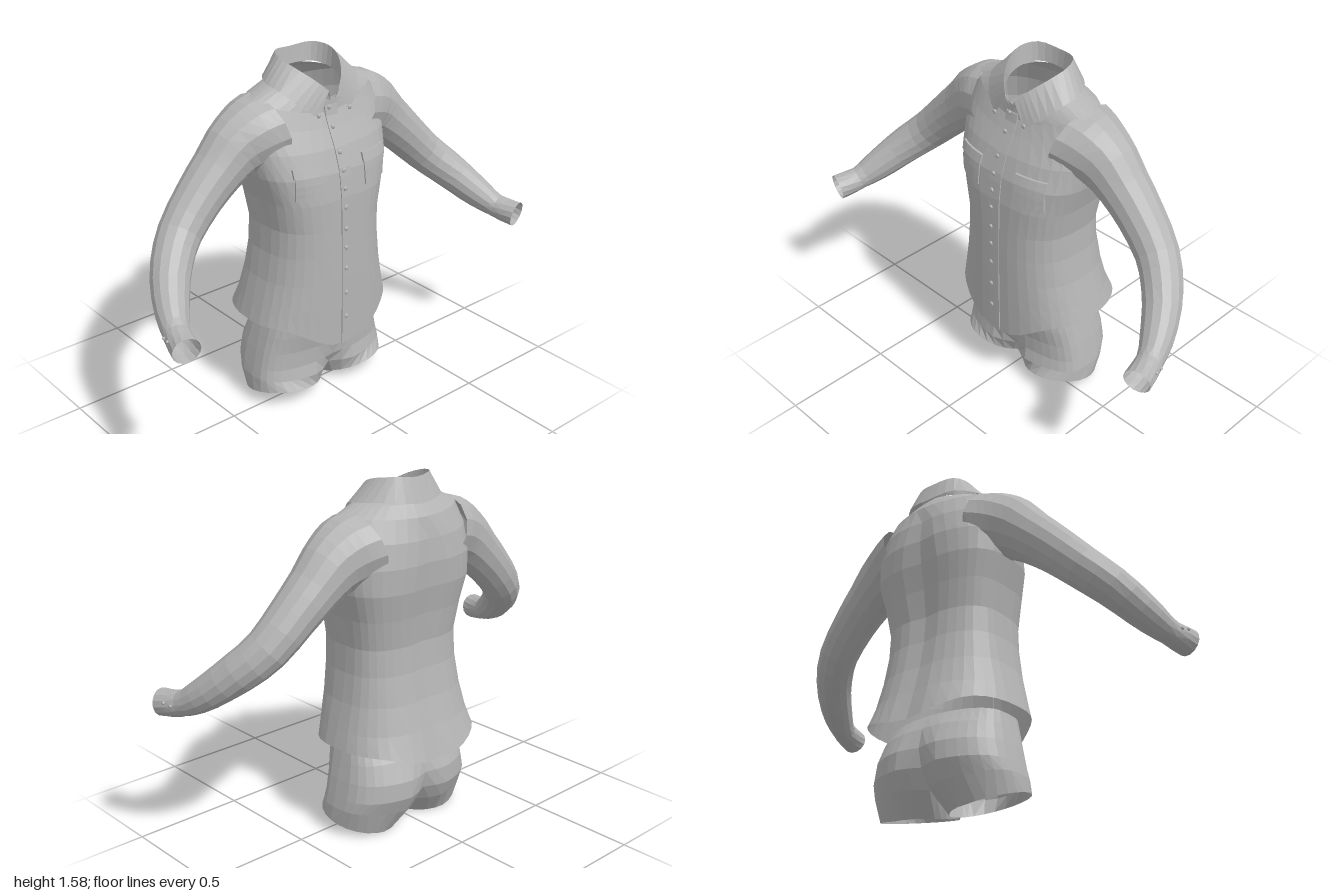
import * as THREE from 'three';

const cloth = new THREE.MeshStandardMaterial({ color: 0xb4b4b4, flatShading: true, side: THREE.DoubleSide });
cloth.name = 'grey cloth';
const V = (x, y, z) => new THREE.Vector3(x, y, z);
const lerp = THREE.MathUtils.lerp;
const spow = (v, p) => Math.sign(v) * Math.abs(v) ** p;

function add(group, name, geometry) {
  const mesh = new THREE.Mesh(geometry, cloth);
  mesh.name = name;
  group.add(mesh);
  return mesh;
}

// Skin between rows of points of equal length
function skin(rows, closed = false) {
  const n = rows[0].length, idx = [];
  for (let i = 0; i < rows.length - 1; i++) {
    for (let j = 0; j < (closed ? n : n - 1); j++) {
      const k = (j + 1) % n, a = i * n + j, b = i * n + k;
      idx.push(a, b, a + n, b, b + n, a + n);
    }
  }
  const g = new THREE.BufferGeometry().setFromPoints(rows.flat());
  g.setIndex(idx);
  const flat = g.toNonIndexed();
  flat.computeVertexNormals();
  return flat;
}

// Shirt body rings: y at front, side, back; half width; front z; back z; squareness
const ZC = -0.06;
const BODY = [
  [0.29, 0.42, 0.36, 0.355, 0.2, -0.37, 2.5],
  [0.5, 0.5, 0.5, 0.335, 0.2, -0.325, 2.5],
  [0.62, 0.62, 0.62, 0.305, 0.199, -0.29, 2.6],
  [0.75, 0.75, 0.75, 0.285, 0.197, -0.264, 2.7],
  [0.87, 0.87, 0.87, 0.28, 0.194, -0.254, 2.8],
  [1.0, 1.0, 1.0, 0.3, 0.19, -0.269, 3],
  [1.12, 1.12, 1.12, 0.335, 0.175, -0.292, 2.9],
  [1.22, 1.23, 1.23, 0.352, 0.142, -0.3, 2.5],
  [1.3, 1.34, 1.33, 0.35, 0.103, -0.29, 2.1],
  [1.36, 1.435, 1.42, 0.315, 0.078, -0.258, 1.9],
  [1.39, 1.478, 1.47, 0.21, 0.077, -0.22, 2],
  [1.42, 1.49, 1.5, 0.13, 0.077, -0.19, 2],
];

function bodyRing([yF, yS, yB, hw, zF, zB, n], i) {
  const row = [];
  for (let j = 0; j < 36; j++) {
    const t = (j / 36) * Math.PI * 2, c = Math.cos(t);
    const x = hw * spow(Math.sin(t), 2 / n);
    let z = ZC + (c > 0 ? zF - ZC : ZC - zB) * spow(c, 2 / n);
    if (c < 0 && i < 9) z += 0.016 * Math.exp(-((x / 0.06) ** 2));
    row.push(V(x, lerp(yS, c > 0 ? yF : yB, Math.abs(c) ** (i ? 2 : 6)), z));
  }
  return row;
}

// Depth of the shirt front at a given x and y
function frontZ(x, y) {
  let i = 0;
  while (i < BODY.length - 2 && BODY[i + 1][0] < y) i++;
  const a = BODY[i], b = BODY[i + 1];
  const f = THREE.MathUtils.clamp((y - a[0]) / (b[0] - a[0]), 0, 1);
  const [hw, zF, n] = [3, 4, 6].map((k) => lerp(a[k], b[k], f));
  return ZC + (zF - ZC) * Math.max(0, 1 - Math.abs(x / hw) ** n) ** (1 / n);
}

// Thin panel that follows the shirt front
function frontPanel(x, y, w, h, depth, ny) {
  const g = new THREE.BoxGeometry(w, h, depth, 4, ny, 1);
  g.translate(x, y, 0);
  const p = g.attributes.position;
  for (let i = 0; i < p.count; i++) p.setZ(i, p.getZ(i) + frontZ(p.getX(i), p.getY(i)));
  g.computeVertexNormals();
  return g;
}

// Sleeve path: centre x, y, z, then radius across and along the depth
const SLEEVE = [
  [0.23, 1.3, -0.085, 0.155, 0.185], [0.3, 1.28, -0.085, 0.158, 0.16], [0.38, 1.242, -0.088, 0.142, 0.128],
  [0.46, 1.178, -0.088, 0.118, 0.113], [0.57, 1.08, -0.082, 0.104, 0.102], [0.7, 0.95, -0.055, 0.093, 0.093],
  [0.8, 0.85, 0.025, 0.086, 0.085], [0.875, 0.755, 0.135, 0.073, 0.073], [0.918, 0.7, 0.23, 0.053, 0.054],
  [0.946, 0.683, 0.337, 0.058, 0.058],
];
const sleevePath = new THREE.CatmullRomCurve3(SLEEVE.map((s) => V(s[0], s[1], s[2])));
function sleevePoint(side, u, angle, grow = 0) {
  const f = u * (SLEEVE.length - 1), i = Math.min(Math.floor(f), SLEEVE.length - 2);
  const [rb, ra] = [3, 4].map((k) => lerp(SLEEVE[i][k], SLEEVE[i + 1][k], f - i) + grow);
  const t = sleevePath.getTangent(u);
  const a = V(0, 0, 1).addScaledVector(t, -t.z).normalize();
  const b = t.clone().cross(a);
  const p = sleevePath.getPoint(u).addScaledVector(a, ra * Math.cos(angle)).addScaledVector(b, rb * Math.sin(angle));
  p.x *= side;
  return p;
}
function sleeveSkin(side, u0, u1, steps, grow = 0) {
  const rows = [];
  for (let i = 0; i <= steps; i++) {
    const row = [];
    for (let j = 0; j < 14; j++) row.push(sleevePoint(side, lerp(u0, u1, i / steps), (j / 14) * Math.PI * 2, grow));
    rows.push(row);
  }
  return skin(rows, true);
}

// Collar rows (stand, fold, outer edge) from front opening to centre back, mirrored
const COLLAR = [
  [[0.01, 1.41, 0.085], [0.06, 1.43, 0.06], [0.115, 1.47, -0.01], [0.125, 1.49, -0.1], [0.09, 1.5, -0.16], [0, 1.5, -0.185]],
  [[0.025, 1.455, 0.095], [0.07, 1.5, 0.06], [0.122, 1.55, -0.02], [0.136, 1.575, -0.1], [0.1, 1.583, -0.17], [0, 1.575, -0.195]],
  [[0.085, 1.352, 0.098], [0.15, 1.4, 0.068], [0.21, 1.465, 0], [0.212, 1.482, -0.1], [0.13, 1.485, -0.205], [0, 1.47, -0.235]],
];
function collarRow(points) {
  const half = points.map((p) => V(...p));
  const all = [...half, ...half.slice(0, -1).reverse().map((p) => V(-p.x, p.y, p.z))];
  return new THREE.CatmullRomCurve3(all).getPoints(30);
}

// Brief half rings: y front, side, back; half width; front z; back z; groove front and back
const BRIEFS = [
  [0.4, 0.41, 0.42, 0.29, 0.15, -0.21, 0, 0],
  [0.34, 0.34, 0.35, 0.308, 0.137, -0.262, 0, 0.01],
  [0.26, 0.26, 0.26, 0.328, 0.118, -0.302, 0, 0.03],
  [0.18, 0.18, 0.18, 0.345, 0.115, -0.305, 0.015, 0.05],
  [0.12, 0.13, 0.1, 0.355, 0.128, -0.27, 0.06, 0.07],
];
const HALF = 20, INNER = 6;
function briefArc(side, [yF, yS, yB, hw, zF, zB, gF, gB]) {
  const row = [];
  for (let j = 0; j <= HALF; j++) {
    const t = (j / HALF) * Math.PI, c = Math.cos(t);
    const x = hw * Math.sin(t);
    const groove = Math.exp(-((x / 0.06) ** 2));
    const z = -0.05 + (c > 0 ? zF + 0.05 : -0.05 - zB) * spow(c, 0.65) + (c > 0 ? -gF : gB) * groove;
    row.push(V(side * x, lerp(yS, c > 0 ? yF : yB, c * c), z));
  }
  return row;
}
function legSkin(side) {
  const top = briefArc(side, BRIEFS[4]), hem = [];
  const front = top[0], back = top[HALF];
  for (let j = 1; j < INNER; j++) {
    const p = back.clone().lerp(front, j / INNER);
    p.y -= 0.04 * Math.sin((j / INNER) * Math.PI);
    top.push(p);
  }
  for (let j = 0; j < HALF + INNER; j++) {
    const deg = j <= HALF ? -60 + (300 * j) / HALF : 240 + (60 * (j - HALF)) / INNER;
    const a = THREE.MathUtils.degToRad(deg);
    const x = 0.187 + 0.172 * Math.sin(a), z = -0.035 + 0.165 * Math.cos(a);
    hem.push(V(side * x, Math.max(0, 0.04 + 0.23 * (z + 0.03) + 0.12 * (x - 0.185)), z));
  }
  return skin([top, hem], true);
}

export function createModel() {
  const model = new THREE.Group();
  model.name = 'shirtAndBriefs';

  add(model, 'shirtBody', skin(BODY.map(bodyRing), true));
  add(model, 'collar', skin(COLLAR.map(collarRow)));
  add(model, 'buttonPlacket', frontPanel(-0.003, 0.84, 0.066, 1.09, 0.008, 26));

  // Front buttons
  const button = new THREE.SphereGeometry(0.011, 8, 6);
  for (const y of [1.38, 1.3, 1.2, 1.125, 1.045, 0.96, 0.86, 0.77, 0.67, 0.55, 0.43]) {
    const b = add(model, 'frontButton', button);
    b.scale.z = 0.6;
    b.position.set(-0.015, y, frontZ(0, y) + 0.006);
  }

  for (const side of [1, -1]) {
    const label = side > 0 ? 'left' : 'right';
    add(model, label + 'Sleeve', sleeveSkin(side, 0, 0.9, 18));
    add(model, label + 'Cuff', sleeveSkin(side, 0.89, 1, 2, 0.002));
    for (const u of [0.905, 0.94]) {
      const b = add(model, label + 'CuffButton', button);
      b.position.copy(sleevePoint(side, u, 3.93, 0.002));
      b.scale.setScalar(0.7);
    }

    // Chest pocket with its flap
    add(model, label + 'Pocket', frontPanel(side * 0.175, 1.095, 0.14, 0.13, 0.012, 4));
    add(model, label + 'PocketFlap', frontPanel(side * 0.175, 1.15, 0.15, 0.04, 0.02, 2));

    // Collar point button
    const b = add(model, label + 'CollarButton', button);
    b.position.set(side * 0.085, 1.362, 0.1);
    b.scale.z = 0.6;

    add(model, label + 'BriefsHalf', skin(BRIEFS.map((r) => briefArc(side, r))));
    add(model, label + 'LegOpening', legSkin(side));
  }
  return model;
}
